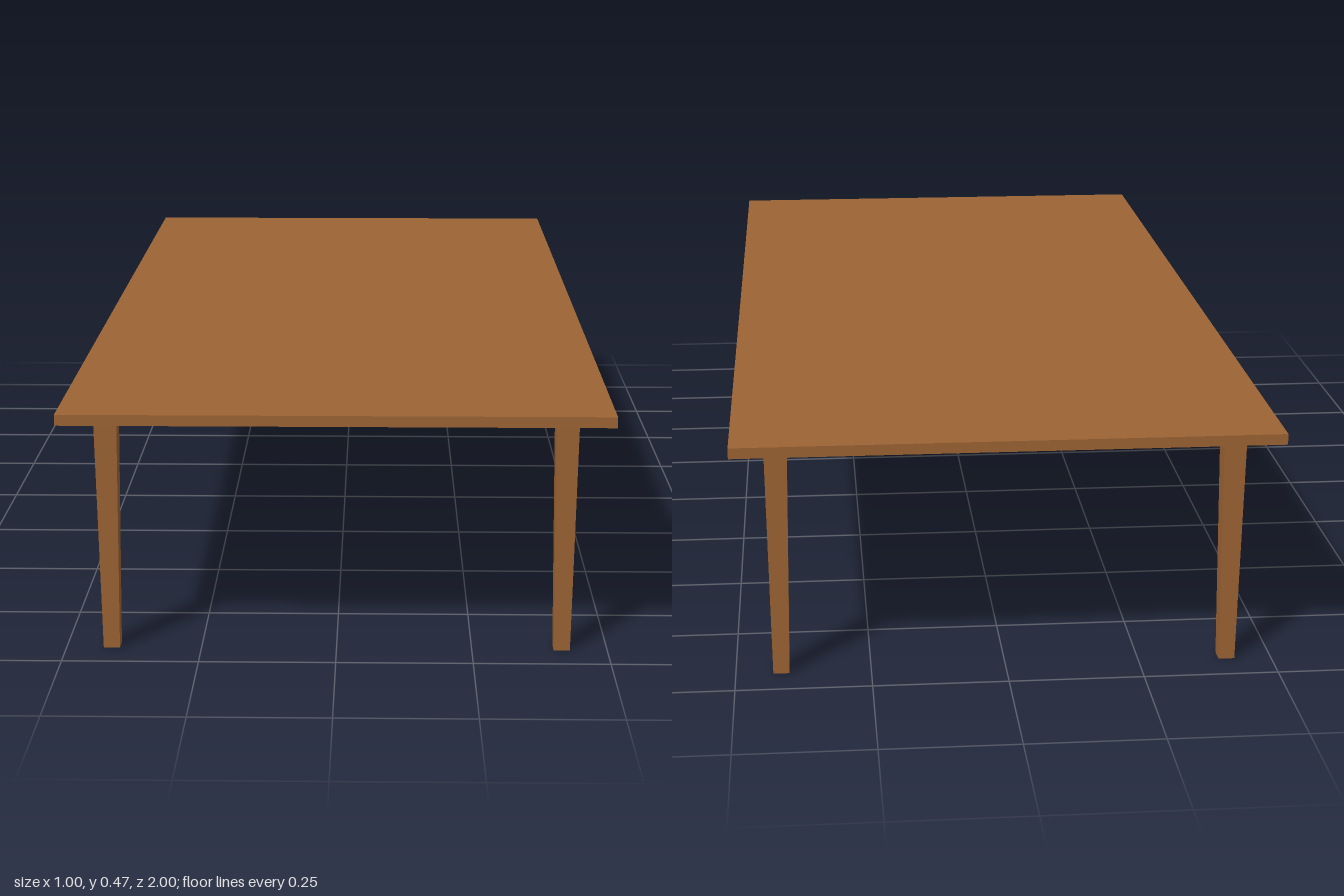
import * as THREE from 'three';

export function createModel() {
  const table = new THREE.Group();
  table.name = 'table';

  const wood = new THREE.MeshStandardMaterial({ color: 0x9c6434 });
  wood.name = 'brown wood';

  const topY = 0.465, topThickness = 0.02;
  const legHeight = topY - topThickness;

  // Flat rectangular top
  const top = new THREE.Mesh(new THREE.BoxGeometry(0.995, topThickness, 2), wood);
  top.name = 'tableTop';
  top.position.y = topY - topThickness / 2;
  table.add(top);

  // Square leg, narrowing evenly toward the floor
  const topWidth = 0.042, footWidth = 0.03;
  const legGeometry = new THREE.BoxGeometry(topWidth, legHeight, topWidth);
  const p = legGeometry.attributes.position;
  for (let i = 0; i < p.count; i++) {
    if (p.getY(i) < 0) {
      p.setX(i, p.getX(i) * footWidth / topWidth);
      p.setZ(i, p.getZ(i) * footWidth / topWidth);
    }
  }
  legGeometry.computeVertexNormals();

  // One leg near each corner
  for (const [side, sx] of [['Left', 1], ['Right', -1]]) {
    for (const [end, sz] of [['front', 1], ['back', -1]]) {
      const leg = new THREE.Mesh(legGeometry, wood);
      leg.name = `${end}${side}Leg`;
      leg.position.set(sx * 0.416, legHeight / 2, sz * 0.919);
      table.add(leg);
    }
  }

  return table;
}
